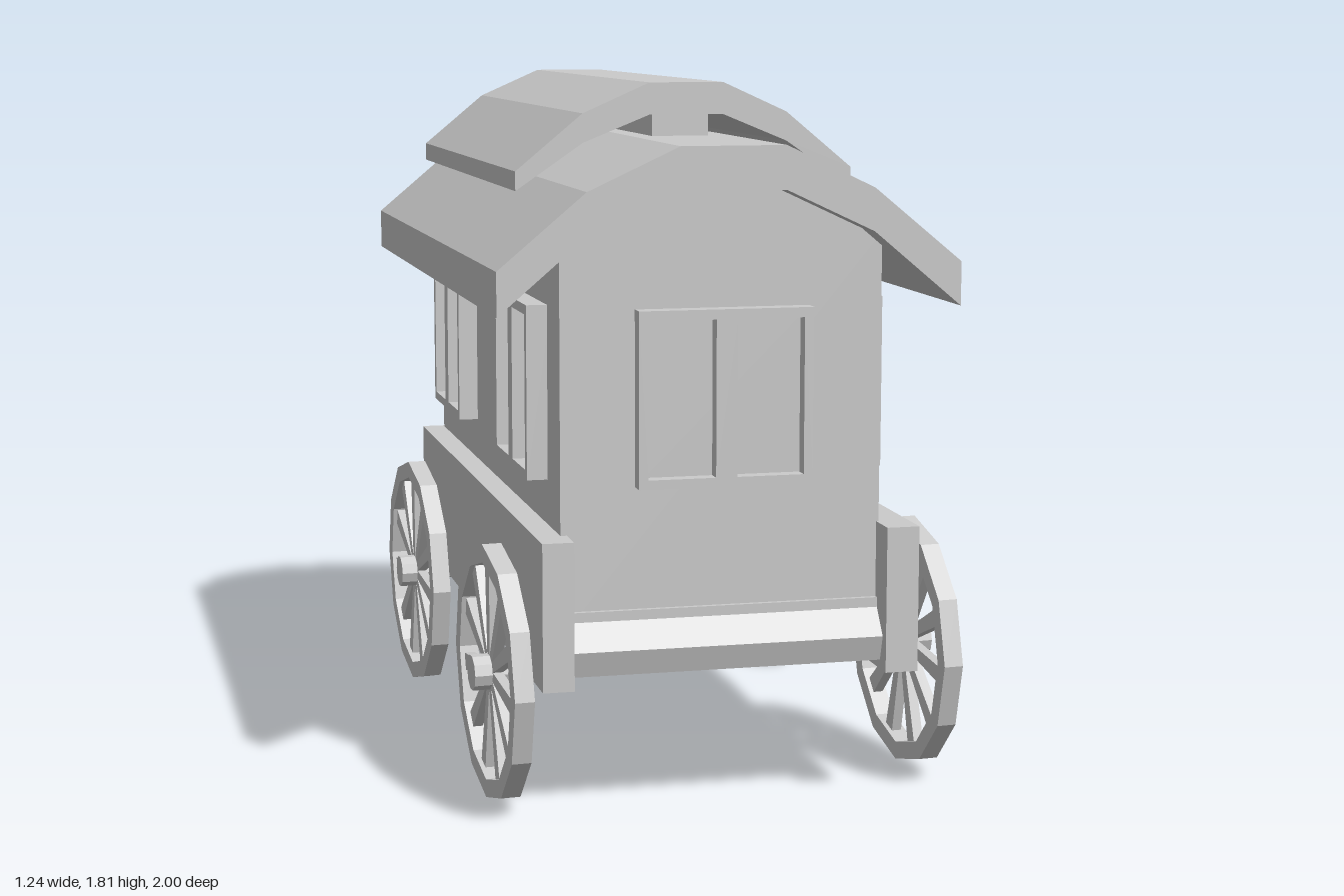
import * as THREE from 'three';

const mat = new THREE.MeshStandardMaterial({ color: 0xcccccc, flatShading: true });

function mesh(name, geo, parent) {
  const m = new THREE.Mesh(geo, mat);
  m.name = name;
  parent.add(m);
  return m;
}

function box(name, x0, x1, y0, y1, z0, z1, parent) {
  const m = mesh(name, new THREE.BoxGeometry(x1 - x0, y1 - y0, z1 - z0), parent);
  m.position.set((x0 + x1) / 2, (y0 + y1) / 2, (z0 + z1) / 2);
  return m;
}

const toShape = pts => new THREE.Shape(pts.map(p => new THREE.Vector2(...p)));

const rectPath = (x0, x1, y0, y1) =>
  new THREE.Path([[x0, y0], [x0, y1], [x1, y1], [x1, y0]].map(p => new THREE.Vector2(...p)));

const extrude = (shape, depth) =>
  new THREE.ExtrudeGeometry(shape, { depth, bevelEnabled: false });

// Profile given as [x, y], swept from z0 to z1
function sweepZ(name, pts, z0, z1, parent) {
  const m = mesh(name, extrude(toShape(pts), z1 - z0), parent);
  m.position.z = z0;
  return m;
}

// Profile given as [z, y], swept from x0 to x1
function sweepX(name, pts, x0, x1, parent) {
  const m = mesh(name, extrude(toShape(pts.map(([z, y]) => [-z, y])), x1 - x0), parent);
  m.rotation.y = Math.PI / 2;
  m.position.x = x0;
  return m;
}

// Double window facing +z: a frame with two openings and a recessed pane
function makeWindow(name, parent) {
  const g = new THREE.Group();
  g.name = name;
  const shape = toShape([[-0.222, 0.832], [0.222, 0.832], [0.222, 1.272], [-0.222, 1.272]]);
  shape.holes.push(rectPath(-0.198, -0.027, 0.855, 1.247), rectPath(0.027, 0.198, 0.855, 1.247));
  mesh('windowFrame', extrude(shape, 0.063), g).position.z = -0.01;
  box('windowPane', -0.21, 0.21, 0.845, 1.26, -0.01, 0.014, g);
  parent.add(g);
  return g;
}

// Spoked wheel, built around the x axis
function makeWheel(name, parent) {
  const g = new THREE.Group();
  g.name = name;
  const ring = r => Array.from({ length: 12 }, (_, i) =>
    new THREE.Vector2(r * Math.cos(i * Math.PI / 6), r * Math.sin(i * Math.PI / 6)));
  const rim = new THREE.Shape(ring(0.33));
  rim.holes.push(new THREE.Path(ring(0.283)));
  const geo = extrude(rim, 0.05);
  geo.translate(0, 0, -0.025).rotateY(Math.PI / 2);
  mesh('rim', geo, g);
  // Spokes widen towards the rim
  const spoke = toShape([[-0.012, 0.02], [0.012, 0.02], [0.023, 0.285], [-0.023, 0.285]]);
  for (let i = 0; i < 11; i++) {
    const s = extrude(spoke, 0.026);
    s.translate(0, 0, -0.013).rotateY(Math.PI / 2).rotateX(i * Math.PI * 2 / 11);
    mesh('spoke', s, g);
  }
  parent.add(g);
  return g;
}

function makeAxle(name, z, parent) {
  const g = new THREE.Group();
  g.name = name;
  const bar = mesh('axleBar', new THREE.CylinderGeometry(0.03, 0.03, 1.2, 8), g);
  bar.rotation.z = Math.PI / 2;
  for (const s of [-1, 1]) {
    makeWheel(s > 0 ? 'leftWheel' : 'rightWheel', g).position.x = s * 0.562;
    const hub = mesh('hub', new THREE.CylinderGeometry(0.046, 0.046, 0.085, 10), g);
    hub.rotation.z = Math.PI / 2;
    hub.position.x = s * 0.578;
  }
  // The axles sit slightly askew
  g.rotation.set(0, 0.054, 0.008);
  g.position.set(0, 0.336, z);
  parent.add(g);
}

export function createModel() {
  const model = new THREE.Group();
  model.name = 'wagon';

  // Cabin with arched gables
  sweepZ('cabin', [[-0.432, 0.46], [0.388, 0.46], [0.388, 1.45], [0.335, 1.49], [0.11, 1.6],
    [-0.155, 1.6], [-0.385, 1.49], [-0.432, 1.45]], -0.896, 0.887, model);

  // Roofs: an arch profile and its underside
  const arch = (top, bottom) => [...top, ...bottom.reverse()];
  sweepZ('mainRoof', arch(
    [[-0.605, 1.382], [-0.385, 1.567], [-0.155, 1.673], [0.11, 1.673], [0.335, 1.567], [0.56, 1.382]],
    [[-0.605, 1.272], [-0.385, 1.46], [-0.155, 1.565], [0.11, 1.565], [0.335, 1.46], [0.56, 1.272]]
  ), -1, 0.99, model);
  sweepZ('upperRoof', arch(
    [[-0.47, 1.59], [-0.295, 1.735], [-0.12, 1.812], [0.075, 1.812], [0.245, 1.735], [0.42, 1.59]],
    [[-0.47, 1.54], [-0.295, 1.66], [-0.12, 1.73], [0.075, 1.73], [0.245, 1.66], [0.42, 1.54]]
  ), -0.95, 0.525, model);
  box('roofSupport', -0.1, 0.05, 1.66, 1.75, -0.9, 0.47, model);

  // Side boards: the left one is cut away below the door
  sweepX('leftSideBoard', [[0.976, 0.347], [0.976, 0.718], [0.355, 0.718], [0.26, 0.592],
    [-0.275, 0.592], [-0.32, 0.718], [-0.912, 0.718], [-0.912, 0.347]], 0.382, 0.466, model);
  sweepX('rightSideBoard', [[0.976, 0.347], [0.976, 0.718], [-0.912, 0.718], [-0.912, 0.347]],
    -0.495, -0.416, model);

  // Front footboard with a sloped tread, and rear board with a dipped top edge
  sweepX('footboard', [[0.87, 0.525], [0.9, 0.525], [0.9, 0.5], [0.95, 0.435], [0.93, 0.37],
    [0.87, 0.37]], -0.425, 0.388, model);
  sweepZ('rearBoard', [[-0.425, 0.36], [0.388, 0.36], [0.388, 0.705], [0.18, 0.668], [-0.025, 0.655],
    [-0.23, 0.668], [-0.425, 0.705]], -0.905, -0.88, model);

  // Windows on the front and both sides
  makeWindow('frontWindow', model).position.set(-0.022, 0, 0.88);
  for (const z of [0.512, -0.506]) {
    const l = makeWindow('leftWindow', model);
    l.position.set(0.389, 0, z);
    l.rotation.y = Math.PI / 2;
    const r = makeWindow('rightWindow', model);
    r.position.set(-0.432, 0, z);
    r.rotation.y = -Math.PI / 2;
  }

  // Door frame around a recessed door
  for (const [z0, z1] of [[0.22, 0.245], [-0.222, -0.197]])
    box('doorPost', 0.37, 0.445, 0.587, 1.315, z0, z1, model);
  for (const [name, y0, y1] of [['doorLintel', 1.29, 1.315], ['doorSill', 0.585, 0.6]])
    box(name, 0.37, 0.445, y0, y1, -0.21, 0.235, model);
  box('door', 0.37, 0.4, 0.587, 1.31, -0.21, 0.235, model);

  makeAxle('frontAxle', 0.635, model);
  makeAxle('rearAxle', -0.63, model);
  return model;
}
